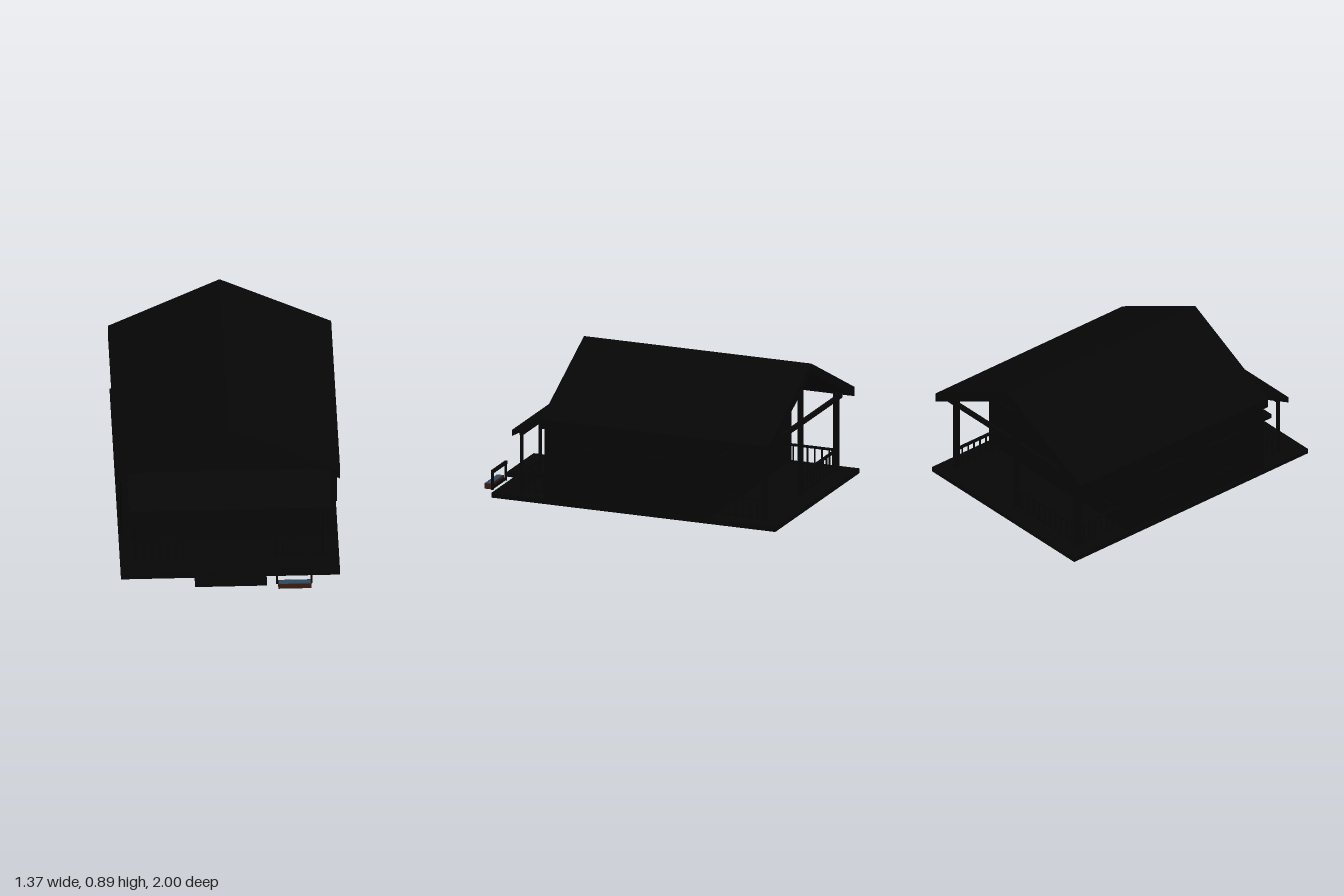
import * as THREE from 'three';

const dark = new THREE.MeshStandardMaterial({ color: 0x060606 });
const brown = new THREE.MeshStandardMaterial({ color: 0x3a1a10 });
const blue = new THREE.MeshStandardMaterial({ color: 0x2a4a60 });

// Box given by its low and high corner on each axis
function box(parent, name, [x0, x1], [y0, y1], [z0, z1], mat = dark) {
  const mesh = new THREE.Mesh(new THREE.BoxGeometry(x1 - x0, y1 - y0, z1 - z0), mat);
  mesh.position.set((x0 + x1) / 2, (y0 + y1) / 2, (z0 + z1) / 2);
  mesh.name = name;
  parent.add(mesh);
  return mesh;
}

// Outline in the x-y plane, extruded from z0 to z1
function prism(parent, name, points, z0, z1) {
  const shape = new THREE.Shape(points.map(p => new THREE.Vector2(...p)));
  const geo = new THREE.ExtrudeGeometry(shape, { depth: z1 - z0, bevelEnabled: false });
  const mesh = new THREE.Mesh(geo, dark);
  mesh.position.z = z0;
  mesh.name = name;
  parent.add(mesh);
  return mesh;
}

// Four-pane window facing +z, centred on its own origin
function makeWindow(w, h) {
  const g = new THREE.Group();
  g.name = 'window';
  const t = 0.02, d = 0.018;
  box(g, 'windowGlass', [-w / 2, w / 2], [-h / 2, h / 2], [-0.005, 0.004]);
  for (const s of [-1, 1]) {
    const x = s * (w - t) / 2, y = s * (h - t) / 2;
    box(g, 'windowJamb', [x - t / 2, x + t / 2], [-h / 2, h / 2], [0, d]);
    box(g, 'windowRail', [-w / 2 + t, w / 2 - t], [y - t / 2, y + t / 2], [0, d]);
  }
  box(g, 'windowMullion', [-0.006, 0.006], [-h / 2 + t, h / 2 - t], [0, 0.012]);
  box(g, 'windowCrossbar', [-w / 2 + t, w / 2 - t], [-0.006, 0.006], [0, 0.011]);
  return g;
}

// Framed door facing +z, standing on its own origin
function makeDoor(w, h) {
  const g = new THREE.Group();
  g.name = 'door';
  box(g, 'doorLeaf', [-w / 2 + 0.02, w / 2 - 0.02], [0, h - 0.02], [-0.005, 0.005]);
  for (const s of [-1, 1]) {
    const x = s * (w / 2 - 0.01);
    box(g, 'doorJamb', [x - 0.01, x + 0.01], [0, h], [-0.005, 0.012]);
  }
  box(g, 'doorHead', [-w / 2 + 0.02, w / 2 - 0.02], [h - 0.02, h], [-0.005, 0.012]);
  const knob = new THREE.Mesh(new THREE.SphereGeometry(0.008, 10, 8), dark);
  knob.name = 'doorKnob';
  knob.position.set(w / 2 - 0.04, h * 0.45, 0.01);
  g.add(knob);
  return g;
}

// Railing from point a to point b, each [x, z]
function railing(parent, a, b, top) {
  const g = new THREE.Group();
  g.name = 'railing';
  const len = Math.hypot(b[0] - a[0], b[1] - a[1]);
  const n = Math.max(2, Math.round(len / 0.05));
  box(g, 'topRail', [0, len], [top - 0.012, top], [-0.009, 0.009]);
  box(g, 'bottomRail', [0, len], [0.05, 0.06], [-0.006, 0.006]);
  for (let i = 1; i < n; i++) {
    const x = len * i / n;
    box(g, 'baluster', [x - 0.004, x + 0.004], [0.035, top - 0.012], [-0.004, 0.004]);
  }
  g.position.set(a[0], 0, a[1]);
  g.rotation.y = -Math.atan2(b[1] - a[1], b[0] - a[0]);
  parent.add(g);
}

function place(parent, item, x, y, z, turn = 0) {
  item.position.set(x, y, z);
  item.rotation.y = turn;
  parent.add(item);
}

function post(parent, name, x, z, top, t) {
  box(parent, name, [x - t / 2, x + t / 2], [0.03, top], [z - t / 2, z + t / 2]);
}

export function createModel() {
  const house = new THREE.Group();
  house.name = 'house';

  // Floor slab and front step
  box(house, 'floorSlab', [-0.67, 0.67], [0.007, 0.037], [-1, 0.88]);
  box(house, 'frontStep', [-0.22, 0.22], [0.004, 0.03], [0.87, 0.97]);

  // Walls with gables, and the roof on top
  prism(house, 'walls',
    [[-0.655, 0.03], [0.655, 0.03], [0.655, 0.505], [0, 0.83], [-0.655, 0.505]], -0.555, 0.535);
  prism(house, 'mainRoof',
    [[-0.683, 0.49], [0, 0.829], [0.683, 0.49], [0.683, 0.55], [0, 0.89], [-0.683, 0.55]], -0.96, 0.545);

  // Front porch roof, sloping forward
  const porchRoof = prism(house, 'porchRoof',
    [[-0.53, 0.525], [-0.53, 0.565], [-0.765, 0.438], [-0.765, 0.4]], -0.62, 0.62);
  porchRoof.rotation.y = Math.PI / 2;
  porchRoof.position.set(-0.62, 0, 0);
  box(house, 'porchBeam', [-0.585, 0.585], [0.4, 0.425], [0.708, 0.728]);

  // Windows on the front, back and sides, and both doors
  for (const s of [-1, 1]) {
    place(house, makeWindow(0.27, 0.24), s * 0.435, 0.268, 0.535);
    place(house, makeWindow(0.24, 0.24), s * 0.43, 0.268, -0.555, Math.PI);
    for (const z of [0.2, -0.24])
      place(house, makeWindow(0.24, 0.245), s * 0.655, 0.267, z, s * Math.PI / 2);
  }
  place(house, makeDoor(0.23, 0.33), 0, 0.037, 0.537);
  place(house, makeDoor(0.23, 0.33), 0, 0.037, -0.557, Math.PI);

  // Front porch posts and railings
  for (const s of [-1, 1]) {
    post(house, 'frontPost', s * 0.575, 0.718, 0.42, 0.016);
    post(house, 'frontPost', s * 0.28, 0.718, 0.42, 0.016);
    railing(house, [s * 0.28, 0.718], [s * 0.575, 0.718], 0.17);
    railing(house, [s * 0.575, 0.718], [s * 0.575, 0.535], 0.17);
  }

  // Back porch: corner posts, king post, cross beam and railings
  for (const s of [-1, 1]) {
    post(house, 'backPost', s * 0.57, -0.888, 0.535, 0.03);
    railing(house, [s * 0.57, -0.555], [s * 0.57, -0.888], 0.175);
  }
  post(house, 'kingPost', 0, -0.888, 0.835, 0.03);
  box(house, 'backBeam', [-0.64, 0.64], [0.487, 0.512], [-0.9, -0.876]);
  railing(house, [-0.57, -0.888], [0, -0.888], 0.175);

  // Bench beside the step: seat, cushion and open back frame
  const bench = new THREE.Group();
  bench.name = 'bench';
  box(bench, 'benchSeat', [0.288, 0.49], [0, 0.034], [0.955, 1], brown);
  box(bench, 'benchCushion', [0.293, 0.485], [0.03, 0.036], [0.959, 0.996], blue);
  for (const x of [0.282, 0.494])
    box(bench, 'benchBackPost', [x - 0.006, x + 0.006], [0, 0.125], [0.939, 0.952]);
  box(bench, 'benchBackRail', [0.276, 0.5], [0.105, 0.125], [0.938, 0.953]);
  box(bench, 'benchLowRail', [0.288, 0.488], [0.005, 0.02], [0.94, 0.956]);
  house.add(bench);

  return house;
}
